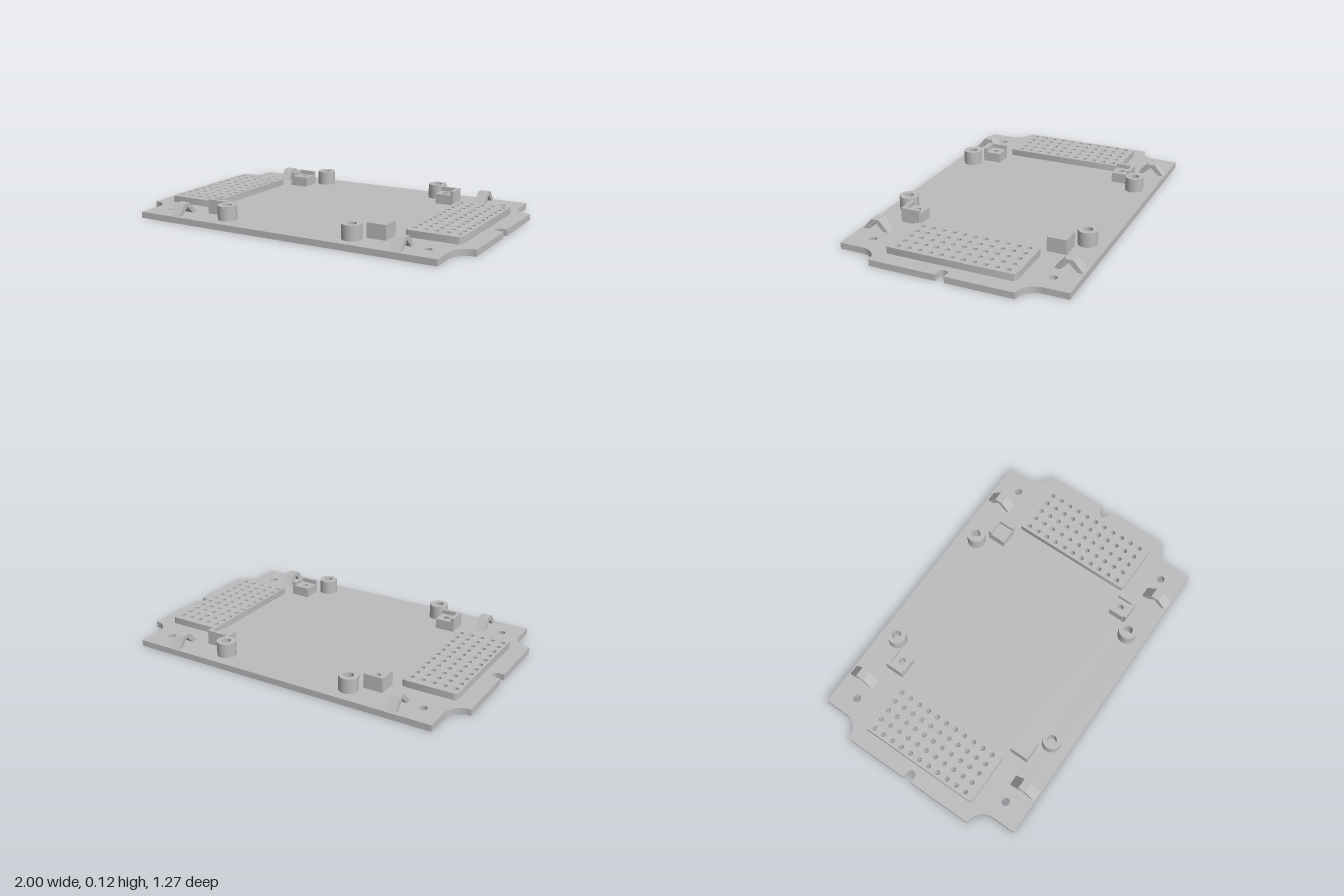
import * as THREE from 'three';
import { toCreasedNormals } from 'three/addons/utils/BufferGeometryUtils.js';

const PLATE_TOP = 0.035;
const PI = Math.PI;

export function createModel() {
  const model = new THREE.Group();
  const grey = new THREE.MeshStandardMaterial({ color: 0xbcbcbc });
  grey.name = 'grey plastic';

  const add = (name, geometry) => {
    const mesh = new THREE.Mesh(geometry, grey);
    mesh.name = name;
    model.add(mesh);
    return mesh;
  };

  // Extrudes a plan drawn in (x, z) between two heights
  const slab = (shape, bottom, top) => {
    const geo = new THREE.ExtrudeGeometry(shape, { depth: top - bottom, bevelEnabled: false, curveSegments: 16 });
    geo.rotateX(PI / 2).translate(0, top, 0);
    return toCreasedNormals(geo, 0.6);
  };

  const hole = (x, z, r) => new THREE.Path().absarc(x, z, r, 0, PI * 2, true);

  const rect = (x0, z0, x1, z1) => new THREE.Shape([
    new THREE.Vector2(x0, z0), new THREE.Vector2(x1, z0),
    new THREE.Vector2(x1, z1), new THREE.Vector2(x0, z1),
  ]);

  const roundedRect = (x0, z0, x1, z1, r) => {
    const s = new THREE.Shape();
    s.absarc(x1 - r, z0 + r, r, -PI / 2, 0);
    s.absarc(x1 - r, z1 - r, r, 0, PI / 2);
    s.absarc(x0 + r, z1 - r, r, PI / 2, PI);
    s.absarc(x0 + r, z0 + r, r, PI, PI * 1.5);
    s.closePath();
    return s;
  };

  // Perforation grid, shared by the pads and the plate beneath
  const perforations = (side) => {
    const list = [];
    for (let i = -2; i <= 2; i++)
      for (let j = -5; j <= 5; j++)
        list.push(hole(side * 0.751 - 0.003 + i * 0.0615, -0.003 + j * 0.0613, 0.0135));
    return list;
  };

  // Base plate: scooped corners and a rounded slot in each end
  const plate = new THREE.Shape();
  plate.moveTo(-0.9, -0.635);
  plate.lineTo(0.9, -0.635);
  plate.absarc(1, -0.5, 0.1, PI, PI / 2, true);
  plate.lineTo(1, -0.025);
  plate.absarc(0.967, 0, 0.025, -PI / 2, -PI * 1.5, true);
  plate.lineTo(1, 0.025);
  plate.absarc(1, 0.5, 0.1, -PI / 2, -PI, true);
  plate.lineTo(0.9, 0.635);
  plate.lineTo(-0.9, 0.635);
  plate.absarc(-1, 0.5, 0.1, 0, -PI / 2, true);
  plate.lineTo(-1, 0.025);
  plate.absarc(-0.967, 0, 0.025, PI / 2, -PI / 2, true);
  plate.lineTo(-1, -0.025);
  plate.absarc(-1, -0.5, 0.1, PI / 2, 0, true);
  plate.closePath();
  for (const sx of [-1, 1]) {
    plate.holes.push(...perforations(sx));
    for (const sz of [-1, 1]) plate.holes.push(hole(sx * 0.793, sz * 0.506, 0.022));
  }
  add('basePlate', slab(plate, 0, PLATE_TOP));

  // Perforated raised pads
  for (const sx of [-1, 1]) {
    const cx = sx * 0.751;
    const pad = roundedRect(cx - 0.154, -0.361, cx + 0.154, 0.361, 0.02);
    pad.holes.push(...perforations(sx));
    add(sx > 0 ? 'leftPad' : 'rightPad', slab(pad, PLATE_TOP, 0.073));
  }

  // Arched clip profile in (z, y), open underneath
  const clip = new THREE.Shape([
    [-0.077, 0], [-0.044, 0], [0, 0.043], [0.044, 0], [0.077, 0], [0.023, 0.062], [-0.023, 0.062],
  ].map(([z, y]) => new THREE.Vector2(z, y)));
  const clipGeo = new THREE.ExtrudeGeometry(clip, { depth: 0.059, bevelEnabled: false });
  clipGeo.translate(0, 0, -0.0295).rotateY(PI / 2);

  for (const sx of [-1, 1]) for (const sz of [-1, 1]) {
    const corner = (sz > 0 ? 'front' : 'back') + (sx > 0 ? 'Left' : 'Right');

    // Hollow round boss
    const boss = new THREE.Shape().absarc(sx * 0.385, sz * 0.528, 0.053, 0, PI * 2);
    boss.holes.push(hole(sx * 0.385, sz * 0.528, 0.026));
    add(corner + 'Boss', slab(boss, PLATE_TOP, 0.116));

    // Corner block: drilled shelf with raised walls on its outer sides
    const x = [0.441, 0.532, 0.552].map((v) => v * sx);
    const z = [0.37, 0.459, 0.478].map((v) => v * sz);
    const shelf = rect(x[0], z[0], x[1], z[1]);
    shelf.holes.push(hole((x[0] + x[1]) / 2, (z[0] + z[1]) / 2, 0.018));
    add(corner + 'BlockShelf', slab(shelf, PLATE_TOP, 0.092));
    const wall = new THREE.Shape([
      [x[2], z[0]], [x[2], z[2]], [x[0], z[2]], [x[0], z[1]], [x[1], z[1]], [x[1], z[0]],
    ].map(([a, b]) => new THREE.Vector2(a, b)));
    add(corner + 'BlockWall', slab(wall, PLATE_TOP, 0.116));

    // Arched clip
    add(corner + 'Clip', clipGeo).position.set(sx * 0.6725, PLATE_TOP, sz * 0.549);
  }

  return model;
}
